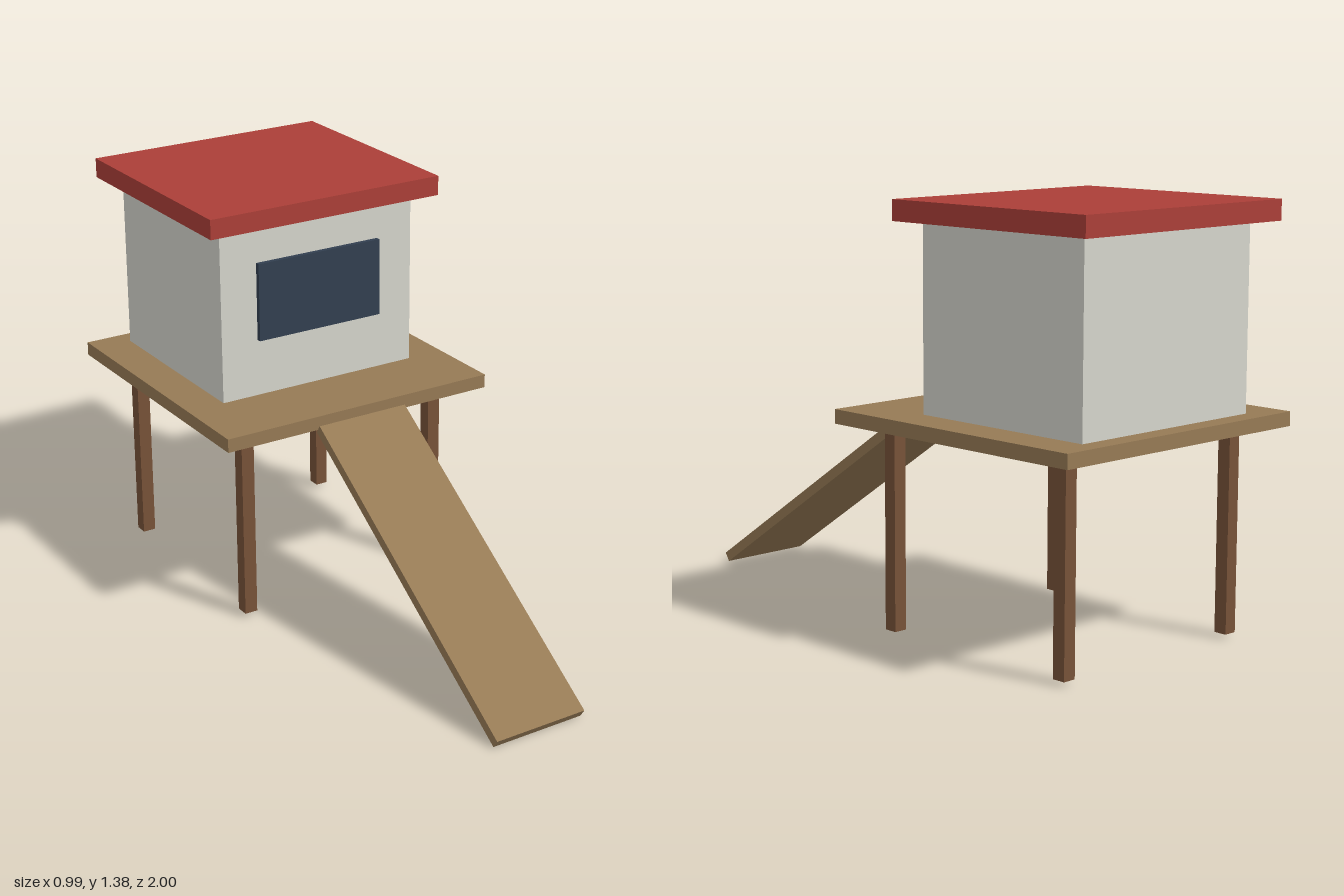
import * as THREE from 'three';

const material = (name, color) => {
  const m = new THREE.MeshStandardMaterial({ color });
  m.name = name;
  return m;
};

export function createModel() {
  const wood = material('plank wood', 0x967a55);
  const darkWood = material('dark post wood', 0x775238);
  const wallPaint = material('pale grey wall', 0xd5d5cc);
  const roofPaint = material('red roof', 0xab3f38);
  const glass = material('dark blue glass', 0x323f50);

  const model = new THREE.Group();
  model.name = 'lookoutHut';

  // Box placed by its centre
  const addBox = (name, mat, size, centre) => {
    const mesh = new THREE.Mesh(new THREE.BoxGeometry(...size), mat);
    mesh.name = name;
    mesh.position.set(...centre);
    model.add(mesh);
    return mesh;
  };

  // Platform and its four posts
  const deckZ = -0.503;
  addBox('deck', wood, [0.994, 0.046, 0.994], [0, 0.696, deckZ]);
  for (const sx of [1, -1]) {
    for (const sz of [1, -1]) {
      const name = (sz > 0 ? 'front' : 'back') + (sx > 0 ? 'Left' : 'Right') + 'Post';
      addBox(name, darkWood, [0.045, 0.659, 0.045], [sx * 0.365, 0.3445, deckZ + sz * 0.365]);
    }
  }

  // Cabin with an overhanging flat roof
  const cabinZ = -0.6;
  addBox('cabin', wallPaint, [0.73, 0.591, 0.664], [0, 1.0145, cabinZ]);
  addBox('roof', roofPaint, [0.862, 0.066, 0.796], [0, 1.343, cabinZ]);

  // Front window panel, standing proud of the wall
  addBox('window', glass, [0.464, 0.265, 0.016], [0, 1.0455, -0.26]);

  // Sloping ramp from the deck edge to the ground
  const ramp = addBox('ramp', wood, [0.33, 0.033, 1.195], [0, 0.345, 0.493]);
  ramp.rotation.x = Math.atan2(0.663, 0.997);

  return model;
}
